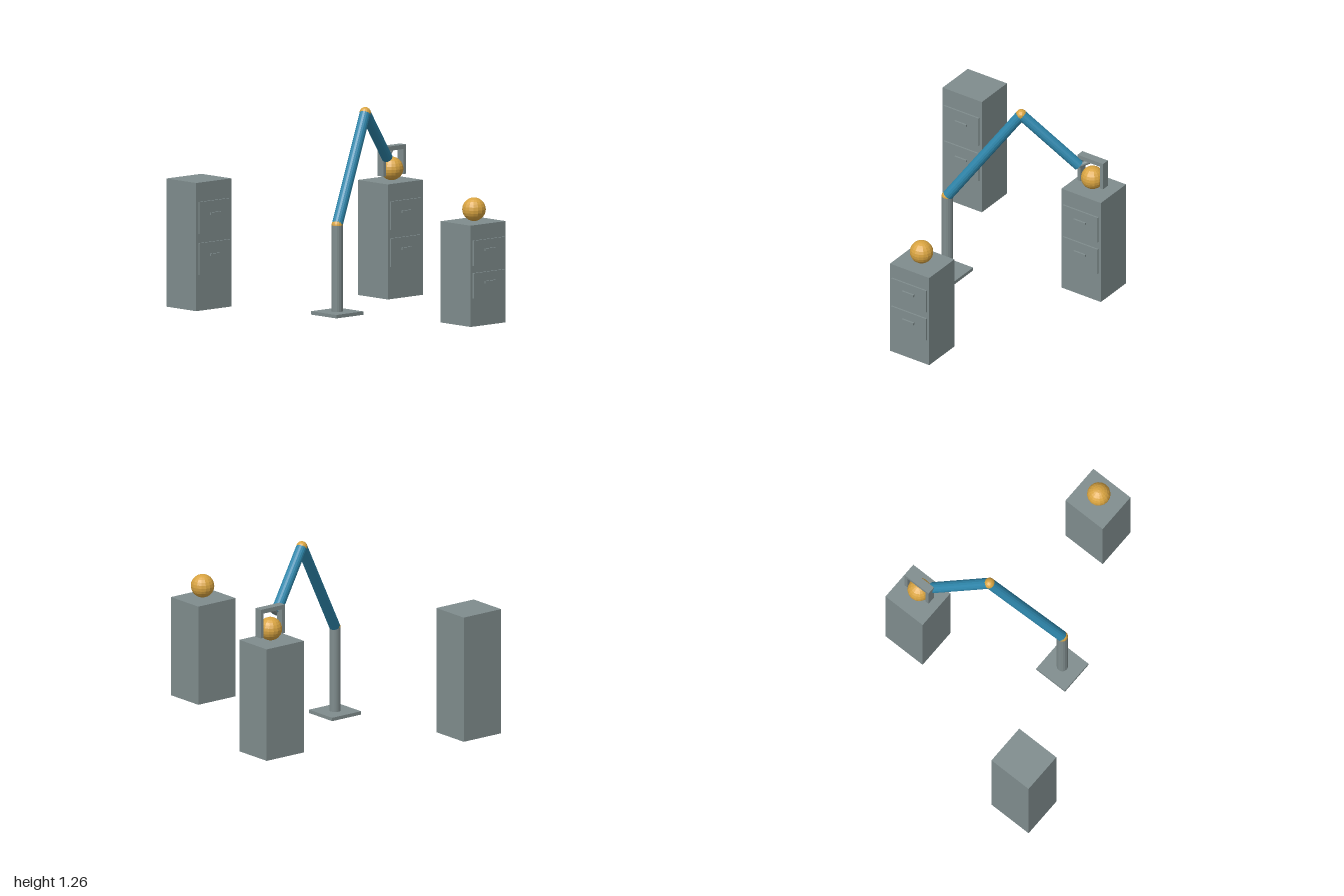
import * as THREE from 'three';

const material = (name, color) => {
  const m = new THREE.MeshStandardMaterial({ color, flatShading: true });
  m.name = name;
  return m;
};

export function createModel() {
  const grey = material('steelGrey', 0x7f8c8d);
  const blue = material('armBlue', 0x2e86ab);
  const gold = material('ballGold', 0xd9a441);
  const model = new THREE.Group();
  model.name = 'robotArmAndCabinets';

  const add = (parent, name, geometry, mat, x, y, z) => {
    const mesh = new THREE.Mesh(geometry, mat);
    mesh.name = name;
    mesh.position.set(x, y, z);
    parent.add(mesh);
    return mesh;
  };
  const box = (parent, name, w, h, d, x, y, z) =>
    add(parent, name, new THREE.BoxGeometry(w, h, d), grey, x, y, z);
  const ball = (parent, name, r, x, y, z) =>
    add(parent, name, new THREE.SphereGeometry(r, 16, 12), gold, x, y, z);

  // Round bar between two points
  const rod = (parent, name, a, b, r, mat) => {
    const dir = b.clone().sub(a);
    const mid = a.clone().add(b).multiplyScalar(0.5);
    const mesh = add(parent, name, new THREE.CylinderGeometry(r, r, dir.length(), 16), mat, mid.x, mid.y, mid.z);
    mesh.quaternion.setFromUnitVectors(new THREE.Vector3(0, 1, 0), dir.normalize());
  };

  // Cabinet with two drawers whose heights follow the cabinet height
  const cabinet = (name, x, h, back) => {
    const g = new THREE.Group();
    g.name = name;
    g.position.set(x, 0, back);
    box(g, 'cabinetBody', 0.304, h, 0.277, 0, h / 2, 0.1385);
    for (const level of [0.405, 0.726]) {
      box(g, 'drawerFront', 0.27, h * 0.248, 0.011, 0, h * level, 0.2835);
      box(g, 'drawerHandle', 0.09, 0.014, 0.012, 0, h * (level + 0.024), 0.295);
    }
    model.add(g);
  };
  cabinet('backCabinet', -0.622, 0.82, -1);
  cabinet('frontCabinet', 0.167, 0.648, 0.699);
  cabinet('sideCabinet', 0.617, 0.736, -0.549);

  // Balls resting on two cabinets
  ball(model, 'restingBall', 0.075, 0.167, 0.725, 0.845);
  ball(model, 'heldBall', 0.075, 0.617, 0.811, -0.398);

  // Arm: base, post, two links and two joints
  const arm = new THREE.Group();
  arm.name = 'robotArm';
  model.add(arm);
  const foot = new THREE.Vector3(-0.229, 0.022, 0);
  const shoulder = new THREE.Vector3(-0.229, 0.573, 0);
  const elbow = new THREE.Vector3(0.203, 1.229, -0.201);
  const wrist = new THREE.Vector3(0.54, 0.892, -0.358);
  const grip = new THREE.Vector3(0.617, 0.938, -0.397);
  box(arm, 'basePlate', 0.235, 0.022, 0.235, -0.229, 0.011, 0);
  rod(arm, 'post', foot, shoulder, 0.036, grey);
  rod(arm, 'upperArm', shoulder, elbow, 0.035, blue);
  rod(arm, 'forearm', elbow, wrist, 0.035, blue);
  ball(arm, 'shoulderJoint', 0.036, ...shoulder.toArray());
  ball(arm, 'elbowJoint', 0.036, ...elbow.toArray());

  // Gripper straddling the held ball
  rod(arm, 'wristLink', wrist, grip, 0.015, grey);
  box(arm, 'gripperBar', 0.197, 0.028, 0.054, 0.618, 0.944, -0.397);
  for (const side of [-1, 1])
    box(arm, 'gripperFinger', 0.023, 0.16, 0.054, 0.618 + side * 0.087, 0.85, -0.397);

  return model;
}
